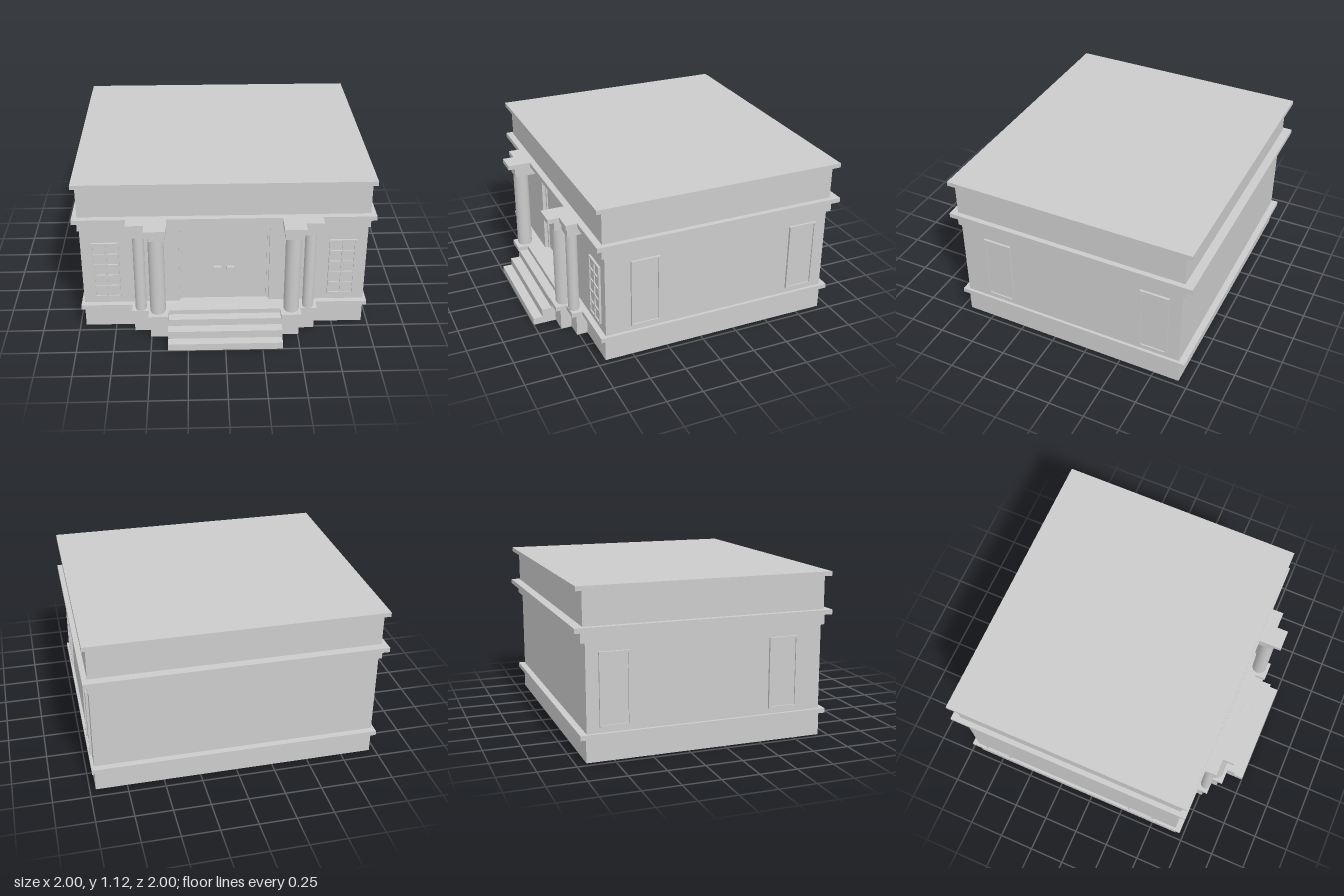
import * as THREE from 'three';

const material = new THREE.MeshStandardMaterial({ color: 0xcccccc });

// Box given by its limits on each axis.
function box(parent, name, x0, x1, y0, y1, z0, z1) {
  const mesh = new THREE.Mesh(new THREE.BoxGeometry(x1 - x0, y1 - y0, z1 - z0), material);
  mesh.position.set((x0 + x1) / 2, (y0 + y1) / 2, (z0 + z1) / 2);
  mesh.name = name;
  parent.add(mesh);
  return mesh;
}

function rect(path, x, y, w, h) {
  path.moveTo(x, y).lineTo(x + w, y).lineTo(x + w, y + h).lineTo(x, y + h).closePath();
  return path;
}

// Flat frame standing on the wall, pierced by a grid of panes; origin at its back centre.
function windowFrame(name, w, h, cols, rows, border, depth) {
  const group = new THREE.Group();
  group.name = name;
  const shape = rect(new THREE.Shape(), -w / 2, -h / 2, w, h);
  const pw = (w - border * (cols + 1)) / cols;
  const ph = (h - border * (rows + 1)) / rows;
  for (let i = 0; i < cols; i++) {
    for (let j = 0; j < rows; j++) {
      const x = -w / 2 + border + i * (pw + border);
      const y = -h / 2 + border + j * (ph + border);
      shape.holes.push(rect(new THREE.Path(), x, y, pw, ph));
    }
  }
  const frame = new THREE.Mesh(
    new THREE.ExtrudeGeometry(shape, { depth, bevelEnabled: false }), material);
  frame.name = 'frame';
  group.add(frame);
  box(group, 'pane', -w / 2 + 0.004, w / 2 - 0.004, -h / 2 + 0.004, h / 2 - 0.004, -0.002, depth * 0.4);
  return group;
}

function column(parent, name, x, z, r) {
  const shaft = new THREE.Mesh(new THREE.CylinderGeometry(r, r, 0.565, 40), material);
  shaft.position.set(x, 0.4825, z);
  shaft.name = name;
  const foot = new THREE.Mesh(new THREE.CylinderGeometry(r * 0.9, r * 0.9, 0.02, 40), material);
  foot.position.set(x, 0.194, z);
  foot.name = name + 'Foot';
  parent.add(shaft, foot);
}

export function createModel() {
  const model = new THREE.Group();
  model.name = 'building';

  // Horizontal layers: name, half width, bottom, top, back, front
  const layers = [
    ['base', 0.96, 0, 0.155, -0.93, 0.69],
    ['baseLedge', 0.98, 0.155, 0.187, -0.97, 0.725],
    ['wallCore', 0.96, 0.187, 0.765, -0.925, 0.645],
    ['frieze', 0.97, 0.765, 0.835, -0.955, 0.705],
    ['cornice', 1.0, 0.835, 0.867, -1.0, 0.745],
    ['attic', 0.965, 0.867, 1.09, -0.94, 0.70],
    ['roof', 0.99, 1.09, 1.12, -0.985, 0.74],
  ];
  for (const [name, w, y0, y1, z0, z1] of layers) box(model, name, -w, w, y0, y1, z0, z1);

  // Portico piers and columns, stepped outward toward the entrance
  for (const s of [-1, 1]) {
    const side = new THREE.Group();
    side.name = s > 0 ? 'leftPortico' : 'rightPortico';
    const span = (name, a, b, y0, y1, z0, z1) =>
      box(side, name, Math.min(s * a, s * b), Math.max(s * a, s * b), y0, y1, z0, z1);
    span('frontWall', 0.305, 0.96, 0.187, 0.765, 0.64, 0.685);
    span('innerPedestal', 0.385, 0.505, 0, 0.155, 0.6, 0.84);
    span('innerPedestalLedge', 0.38, 0.515, 0.155, 0.187, 0.6, 0.875);
    span('outerPedestal', 0.5, 0.617, 0, 0.155, 0.6, 0.765);
    span('outerPedestalLedge', 0.51, 0.63, 0.155, 0.187, 0.6, 0.80);
    span('innerFrieze', 0.393, 0.5, 0.765, 0.835, 0.6, 0.855);
    span('innerCornice', 0.38, 0.525, 0.835, 0.867, 0.6, 0.905);
    span('outerFrieze', 0.495, 0.61, 0.765, 0.835, 0.6, 0.805);
    span('outerCornice', 0.52, 0.645, 0.835, 0.867, 0.6, 0.825);
    column(side, 'innerColumn', s * 0.452, 0.80, 0.053);
    column(side, 'outerColumn', s * 0.568, 0.765, 0.038);

    // Front lattice window
    const lattice = windowFrame('frontWindow', 0.18, 0.425, 2, 5, 0.011, 0.015);
    lattice.position.set(s * 0.797, 0.45, 0.685);
    side.add(lattice);

    // Side windows
    for (const z of [0.41, -0.742]) {
      const panel = windowFrame('sideWindow', 0.2, 0.48, 1, 1, 0.012, 0.016);
      panel.position.set(s * 0.96, 0.465, z);
      panel.rotation.y = s * Math.PI / 2;
      side.add(panel);
    }
    // Door handle
    span('doorHandle', 0.018, 0.068, 0.424, 0.446, 0.64, 0.675);
    model.add(side);
  }

  // Door frame and leaf inside the recess
  const door = new THREE.Group();
  door.name = 'door';
  for (const s of [-1, 1]) {
    box(door, 'doorJamb', s * 0.297 - 0.008, s * 0.297 + 0.008, 0.187, 0.745, 0.64, 0.66);
  }
  box(door, 'doorLintel', -0.289, 0.289, 0.731, 0.745, 0.64, 0.66);
  box(door, 'doorLeaf', -0.289, 0.289, 0.187, 0.731, 0.64, 0.65);
  model.add(door);

  // Entrance steps
  [[0.05, 1.0], [0.105, 0.935], [0.155, 0.865], [0.187, 0.80]].forEach(([top, front], i, all) => {
    box(model, 'step', -0.385, 0.385, i ? all[i - 1][0] : 0, top, 0.68, front);
  });

  return model;
}
